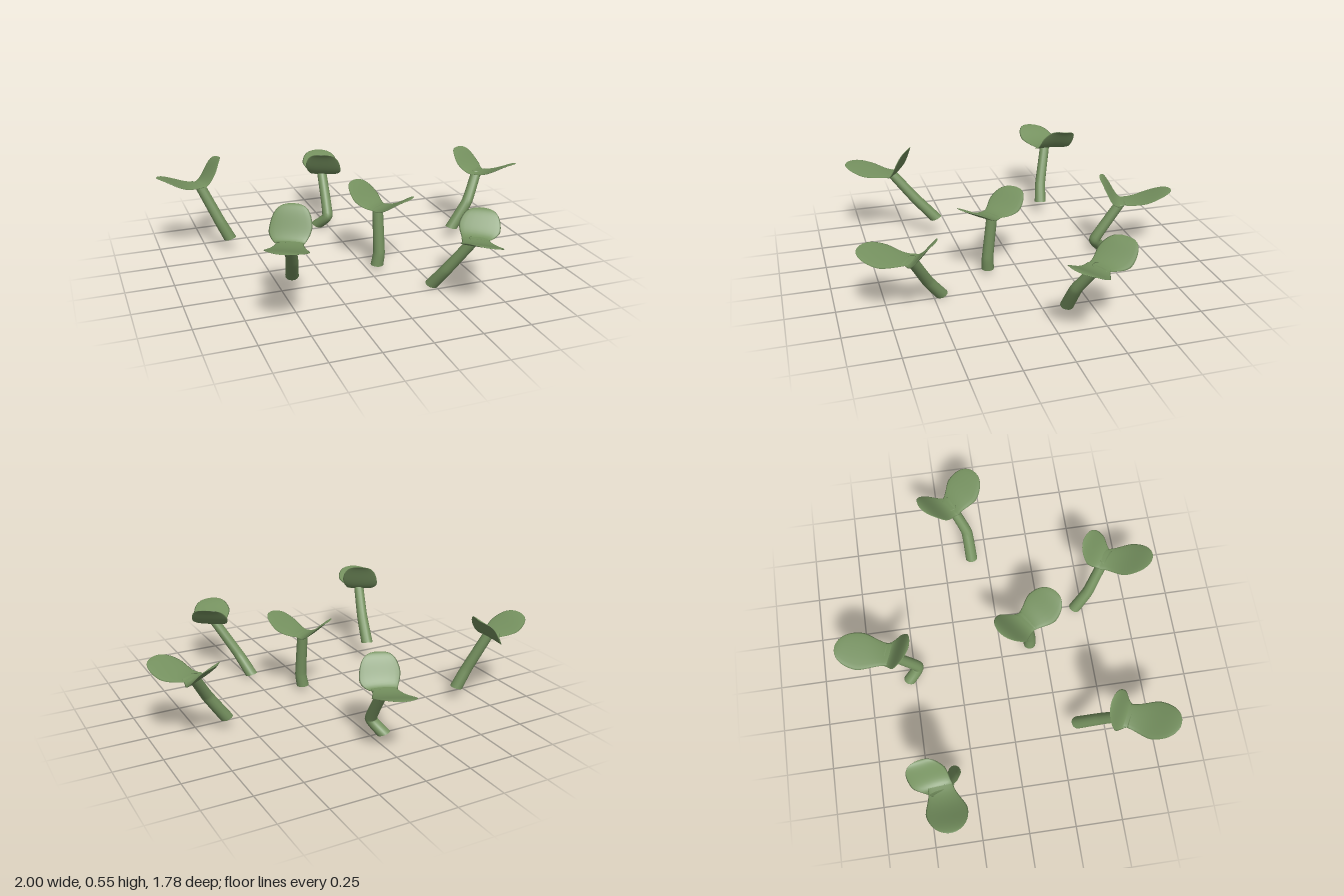
import * as THREE from 'three';

const V = (a) => new THREE.Vector3(...a);
const UP = V([0, 1, 0]);
const green = new THREE.MeshStandardMaterial({ color: 0x75915f, side: THREE.DoubleSide });

// foot, bend and joint describe the stem; flat and raised are the two leaf tips;
// fold is the horizontal direction in which the raised leaf climbs, roll tips the flat leaf sideways.
const SPROUTS = [
  { foot: [-0.63, 0.075, -0.35], bend: [-0.68, 0.18, -0.365], joint: [-0.77, 0.385, -0.42],
    flat: [-1, 0.455, -0.39], raised: [-0.645, 0.5, -0.535], fold: [1, 0, 0], roll: 0.12 },
  { foot: [-0.06, 0.012, -0.53], bend: [-0.015, 0.085, -0.475], joint: [0, 0.305, -0.62],
    flat: [0.06, 0.365, -0.885], raised: [-0.02, 0.45, -0.49], fold: [-0.4, 0, 0.9], roll: 0 },
  { foot: [0.61, 0.065, -0.09], bend: [0.71, 0.21, -0.1], joint: [0.8, 0.36, -0.17],
    flat: [0.965, 0.43, -0.02], raised: [0.765, 0.465, -0.345], fold: [-0.6, 0, -0.8], roll: -0.1 },
  { foot: [0.05, 0.025, 0.165], bend: [0.06, 0.1, 0.167], joint: [0.06, 0.345, 0.14],
    flat: [0.17, 0.43, 0.32], raised: [-0.015, 0.45, -0.02], fold: [-0.6, 0, -0.8], roll: 0 },
  { foot: [0.235, 0.012, 0.46], bend: [0.28, 0.12, 0.535], joint: [0.38, 0.305, 0.63],
    flat: [0.32, 0.365, 0.88], raised: [0.48, 0.42, 0.53], fold: [0.53, 0, -0.85], roll: -0.12 },
  { foot: [-0.47, 0.12, 0.34], bend: [-0.5, 0.25, 0.455], joint: [-0.54, 0.395, 0.57],
    flat: [-0.635, 0.45, 0.815], raised: [-0.5, 0.55, 0.47], fold: [0.5, 0, -0.85], roll: 0 },
];

// Skin over elliptical sections: centre c with half axes a and b
function loft(sections, sides) {
  const pos = [], index = [];
  for (const { c, a, b } of sections) {
    for (let j = 0; j < sides; j++) {
      const p = c.clone()
        .addScaledVector(a, Math.cos((j / sides) * Math.PI * 2))
        .addScaledVector(b, Math.sin((j / sides) * Math.PI * 2));
      pos.push(p.x, p.y, p.z);
    }
  }
  for (let i = 0; i < sections.length - 1; i++) {
    for (let j = 0; j < sides; j++) {
      const k = (j + 1) % sides, r = i * sides, s = r + sides;
      index.push(r + j, r + k, s + j, r + k, s + k, s + j);
    }
  }
  const geo = new THREE.BufferGeometry();
  geo.setAttribute('position', new THREE.Float32BufferAttribute(pos, 3));
  geo.setIndex(index);
  geo.computeVertexNormals();
  return geo;
}

function part(name, sections, sides) {
  const mesh = new THREE.Mesh(loft(sections, sides), green);
  mesh.name = name;
  return mesh;
}

// Stem: slightly tapered, with a closed, nearly level foot
function stem({ foot, bend, joint }) {
  const curve = new THREE.CatmullRomCurve3([V(foot), V(bend), V(joint)], false, 'catmullrom', 0.2);
  const sections = [];
  for (let i = 0; i <= 16; i++) {
    const t = i / 16;
    const dir = curve.getTangent(t).add(UP).normalize();
    const a = V([1, 0, 0]).addScaledVector(dir, -dir.x).setLength(0.034 - 0.006 * t);
    sections.push({ c: curve.getPoint(t), a, b: dir.clone().cross(a) });
  }
  // the foot is a separate disc so that its rim stays sharp
  const centre = { c: sections[0].c, a: V([0, 0, 0]), b: V([0, 0, 0]) };
  const group = new THREE.Group();
  group.name = 'stem';
  group.add(part('stemShaft', sections, 14), part('stemFoot', [centre, sections[0]], 14));
  return group;
}

// Leaf: narrow at the joint, oval, its height following the fold in a smooth trough
function leaf(name, joint, tip, fold, roll) {
  const base = V(joint), end = V(tip), u = V(fold).normalize();
  const run = end.clone().sub(base).setY(0);
  const rise = end.y - base.y;
  const along = run.clone().normalize();
  base.addScaledVector(along, -0.015);
  const at = (k, h) => base.clone().addScaledVector(run, k).add(V([0, rise * h, 0]));
  const curve = new THREE.CubicBezierCurve3(base, at(0.48, -0.2), at(0.78, 0.85), end);
  // crosswise direction: halfway between square to the leaf and along the fold line
  const crease = UP.clone().cross(u).multiplyScalar(Math.sign(along.dot(u)));
  const side = UP.clone().cross(along).add(crease).normalize();
  const sections = [];
  for (let i = 0; i <= 24; i++) {
    const t = Math.sin((i / 24) * Math.PI / 2);
    const dir = curve.getTangent(t);
    const slope = dir.y / Math.max(0.3, Math.hypot(dir.x, dir.z));
    const tilt = slope * side.dot(u) / along.dot(u) + roll * t;
    const cross = side.clone().setY(tilt).normalize();
    const grow = THREE.MathUtils.smoothstep(t, 0, 0.5);
    const round = Math.sqrt(Math.max(0, 1 - (Math.max(0, t - 0.42) / 0.58) ** 2));
    const width = (0.063 + 0.042 * grow) * round;
    const normal = dir.clone().cross(cross).setLength(0.006 * round);
    sections.push({ c: curve.getPoint(t), a: cross.multiplyScalar(width), b: normal });
  }
  return part(name, sections, 16);
}

export function createModel() {
  const model = new THREE.Group();
  model.name = 'seedlings';
  SPROUTS.forEach((s, i) => {
    const sprout = new THREE.Group();
    sprout.name = `sprout${i + 1}`;
    sprout.add(
      stem(s),
      leaf('flatLeaf', s.joint, s.flat, s.fold, s.roll),
      leaf('raisedLeaf', s.joint, s.raised, s.fold, 0),
    );
    model.add(sprout);
  });
  return model;
}
